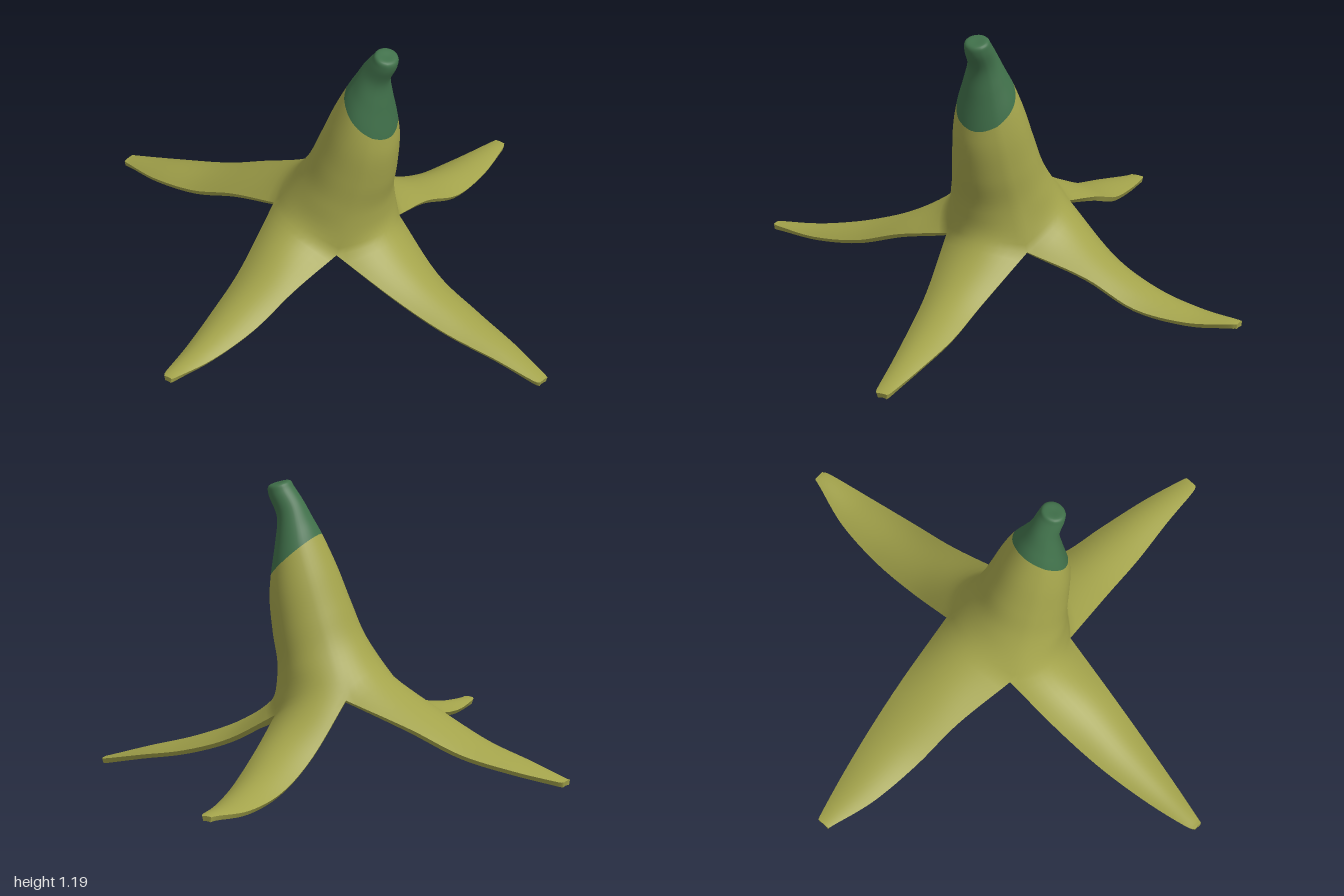
import * as THREE from 'three';
import { mergeVertices } from 'three/addons/utils/BufferGeometryUtils.js';

const V = (x, y, z) => new THREE.Vector3(x, y, z);
const COLS = 12, STEPS = 6, THICKNESS = 0.02;

// Tilted body rings, stem tip downwards: right x, y, left x, y, half depth
const RINGS = [
  [0.247, 1.181, 0.247, 1.181, 0],
  [0.208, 1.192, 0.284, 1.168, 0.043],
  [0.188, 1.17, 0.282, 1.13, 0.053],
  [0.15, 1.12, 0.246, 1.05, 0.06],
  [0.115, 1.06, 0.25, 0.95, 0.085],
  [0.08, 1.0, 0.263, 0.82, 0.117],
  [0.02, 0.88, 0.266, 0.73, 0.143],
  [-0.04, 0.74, 0.25, 0.61, 0.163],
  [-0.1, 0.61, 0.226, 0.48, 0.187],
];
const SEAM_RING = 5;

// Corners where neighbouring flaps split apart
const CROTCHES = [V(-0.165, 0.43, 0.16), V(0.145, 0.33, 0.18), V(0.17, 0.33, -0.175), V(-0.14, 0.43, -0.19)];

// Flaps: outward direction, then rows of distance, ridge height, left edge, right edge, edge drop
const FLAPS = [
  { angle: 0, root: V(-0.01, 0.425, 0.24), rows: [
    [0.4, 0.32, -0.14, 0.11, 0.05], [0.6, 0.235, -0.12, 0.08, 0.04], [0.8, 0.18, -0.09, 0.04, 0.025],
    [0.96, 0.155, -0.06, 0.0, 0.006], [0.995, 0.152, -0.045, -0.01, 0.002]] },
  { angle: Math.PI / 2, root: V(0.25, 0.36, 0.005), rows: [
    [0.4, 0.245, -0.13, 0.11, 0.05], [0.6, 0.155, -0.10, 0.09, 0.035], [0.8, 0.09, -0.065, 0.06, 0.02],
    [0.96, 0.034, -0.042, 0.025, 0.006], [0.99, 0.024, -0.03, 0.015, 0.002]] },
  { angle: Math.PI, root: V(0.015, 0.425, -0.24), rows: [
    [0.4, 0.305, -0.13, 0.11, 0.05], [0.6, 0.21, -0.12, 0.09, 0.045], [0.8, 0.16, -0.09, 0.06, 0.022],
    [0.96, 0.155, -0.055, 0.01, 0.006], [0.995, 0.152, -0.04, 0.0, 0.002]] },
  { angle: -Math.PI / 2, root: V(-0.2, 0.495, -0.03), rows: [
    [0.4, 0.385, -0.165, 0.11, 0.04], [0.6, 0.295, -0.14, 0.09, 0.03], [0.8, 0.238, -0.10, 0.06, 0.02],
    [0.96, 0.195, -0.06, 0.01, 0.006], [0.99, 0.188, -0.05, 0.0, 0.002]] },
];

// Point on a tilted body ring at a compass angle (0 = front)
function ringPoint([xr, yr, xl, yl, depth], angle) {
  const s = Math.sin(angle), c = Math.cos(angle);
  return V((xl + xr) / 2 + s * (xl - xr) / 2, (yl + yr) / 2 + s * (yl - yr) / 2, c * depth);
}

function sample(points) {
  return new THREE.CatmullRomCurve3(points, false, 'catmullrom').getPoints((points.length - 1) * STEPS);
}

function buildSurface() {
  const positions = [], stem = [], peel = [];
  const body = (angle) => RINGS.map((ring) => ringPoint(ring, angle));
  const cornerAngle = (k) => (k - 0.5) * Math.PI / 2;
  const corners = CROTCHES.map((p, k) => sample([...body(cornerAngle(k)), p]));

  FLAPS.forEach(({ angle, root, rows }, k) => {
    const s = Math.sin(angle), c = Math.cos(angle);
    const at = (r, y, side) => V(s * r + c * side, y, c * r - s * side);
    const ridge = sample([...body(angle), root, ...rows.map(([r, y, a, b]) => at(r, y, (a + b) / 2))]);
    // Shared corner line on the body, then the free edge of the flap
    const edge = (corner, column) => [...corners[corner],
      ...sample([CROTCHES[corner], ...rows.map((row) => at(row[0], row[1] - row[4], row[column]))]).slice(1)];
    const left = edge(k, 2), right = edge((k + 1) % 4, 3);
    const base = positions.length / 3;

    ridge.forEach((mid, i) => {
      for (let j = 0; j <= COLS; j++) {
        // Arched cross-section through left edge, ridge and right edge
        const u = Math.sin((j / COLS - 0.5) * Math.PI / 2) / Math.SQRT1_2;
        const p = mid.clone().multiplyScalar(1 - u * u)
          .addScaledVector(left[i], (u * u - u) / 2)
          .addScaledVector(right[i], (u * u + u) / 2);
        positions.push(p.x, p.y, p.z);
        if (i === 0 || j === 0) continue;
        const d = base + i * (COLS + 1) + j, e = d - 1, b = d - COLS - 1, a = b - 1;
        (i <= SEAM_RING * STEPS ? stem : peel).push(a, e, b, b, e, d);
      }
    });
  });

  let geometry = new THREE.BufferGeometry();
  geometry.setAttribute('position', new THREE.Float32BufferAttribute(positions, 3));
  geometry.setIndex([...stem, ...peel]);
  geometry = mergeVertices(geometry, 1e-5);
  geometry.computeVertexNormals();
  return { geometry, stemCount: stem.length };
}

function withIndex(source, index) {
  const g = new THREE.BufferGeometry();
  g.setAttribute('position', source.attributes.position);
  g.setAttribute('normal', source.attributes.normal);
  g.setIndex(index);
  return g;
}

// Inner skin: the outer surface pushed inwards and turned around
function innerSkin(outer, index) {
  const g = outer.clone(), p = g.attributes.position, n = g.attributes.normal;
  for (let i = 0; i < p.count; i++) {
    p.setXYZ(i, p.getX(i) - n.getX(i) * THICKNESS, p.getY(i) - n.getY(i) * THICKNESS, p.getZ(i) - n.getZ(i) * THICKNESS);
    n.setXYZ(i, -n.getX(i), -n.getY(i), -n.getZ(i));
  }
  const flipped = [];
  for (let i = 0; i < index.length; i += 3) flipped.push(index[i], index[i + 2], index[i + 1]);
  g.setIndex(flipped);
  return g;
}

// Rim: quads joining both skins along every open edge
function rimStrip(outer, inner, index) {
  const edges = new Map(), points = [];
  for (let i = 0; i < index.length; i += 3) {
    for (let k = 0; k < 3; k++) {
      const a = index[i + k], b = index[i + (k + 1) % 3];
      if (a !== b) edges.set(a + '_' + b, [a, b]);
    }
  }
  const get = (g, i) => new THREE.Vector3().fromBufferAttribute(g.attributes.position, i);
  for (const [a, b] of edges.values()) {
    if (edges.has(b + '_' + a)) continue;
    const oa = get(outer, a), ob = get(outer, b), ia = get(inner, a), ib = get(inner, b);
    points.push(oa, ia, ob, ob, ia, ib);
  }
  const g = mergeVertices(new THREE.BufferGeometry().setFromPoints(points), 1e-5);
  g.computeVertexNormals();
  return g;
}

export function createModel() {
  const yellow = new THREE.MeshStandardMaterial({ color: 0xa3a34b });
  yellow.name = 'olive yellow peel';
  const green = new THREE.MeshStandardMaterial({ color: 0x40704a });
  green.name = 'green stem';

  const { geometry, stemCount } = buildSurface();
  const index = Array.from(geometry.index.array);
  const inner = innerSkin(geometry, index);

  const group = new THREE.Group();
  group.name = 'fruitPeel';
  const add = (name, geo, material) => {
    const mesh = new THREE.Mesh(geo, material);
    mesh.name = name;
    group.add(mesh);
  };
  add('stem', withIndex(geometry, index.slice(0, stemCount)), green);
  add('outerPeel', withIndex(geometry, index.slice(stemCount)), yellow);
  add('innerPeel', inner, yellow);
  add('peelRim', rimStrip(geometry, inner, index), yellow);
  return group;
}
